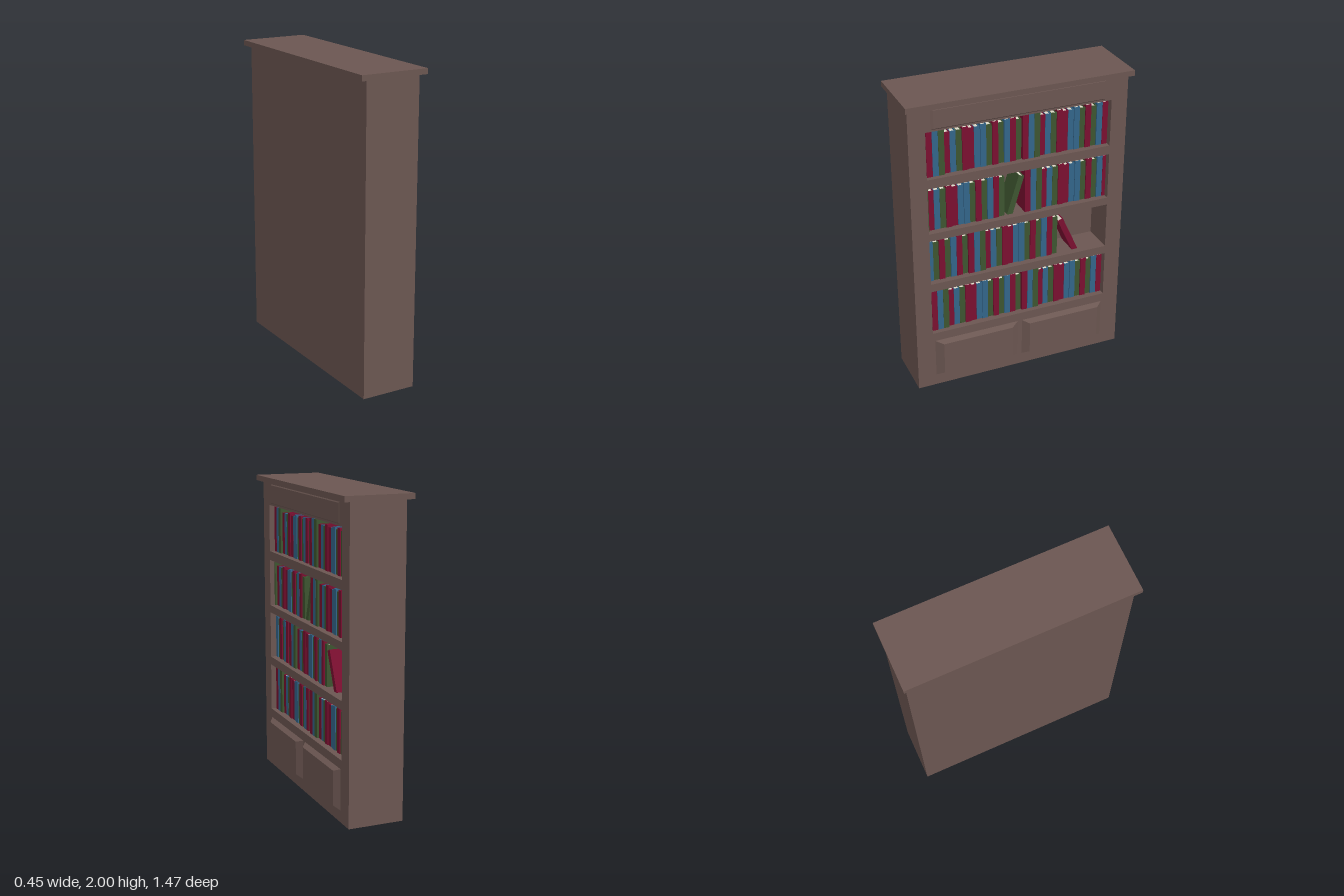
import * as THREE from 'three';

const mat = (color) => new THREE.MeshStandardMaterial({ color, flatShading: true });
const WOOD = mat(0x6b5651);
const PAGES = mat(0xddd8c8);
const COVERS = { R: mat(0x7a0f30), B: mat(0x33658a), G: mat(0x3d5530) };

// One set of sixteen books that repeats along the shelves
const COLORS = 'RBGRBGRRBBGRGBRG';
const HEIGHTS = [0.297, 0.297, 0.297, 0.27, 0.27, 0.27, 0.282, 0.27, 0.27, 0.282, 0.27, 0.285, 0.27, 0.285, 0.285, 0.27];
const PITCH = 0.0385;
const BACK = -0.03, FRONT = 0.18;

// Box given by its limits on each axis
function box(name, material, x0, x1, y0, y1, z0, z1) {
  const mesh = new THREE.Mesh(new THREE.BoxGeometry(x1 - x0, y1 - y0, z1 - z0), material);
  mesh.position.set((x0 + x1) / 2, (y0 + y1) / 2, (z0 + z1) / 2);
  mesh.name = name;
  return mesh;
}

// Raised panel: a box whose front face is drawn in to an inner rectangle
function raisedPanel(name, height, outer, inner) {
  const geo = new THREE.BoxGeometry(1, 1, 1);
  const p = geo.attributes.position;
  for (let i = 0; i < p.count; i++) {
    const front = p.getX(i) > 0;
    const [y0, y1, z0, z1] = front ? inner : outer;
    p.setXYZ(i, front ? FRONT + height : FRONT - 0.01, p.getY(i) > 0 ? y1 : y0, p.getZ(i) > 0 ? z1 : z0);
  }
  geo.computeVertexNormals();
  const mesh = new THREE.Mesh(geo, WOOD);
  mesh.name = name;
  return mesh;
}

// Book standing on its origin, spine towards +x, with pages set back from the covers
function book(index) {
  const g = new THREE.Group();
  const h = HEIGHTS[index], cover = COVERS[COLORS[index]];
  const w = PITCH / 2 - 0.0004, t = 0.005;
  const front = 0.135 + (h - 0.27) * 0.5, back = -0.01;
  g.add(box('frontCover', cover, back, front, 0, h, w - t, w));
  g.add(box('backCover', cover, back, front, 0, h, -w, -w + t));
  g.add(box('spine', cover, front - t, front, 0, h, -w + t, w - t));
  g.add(box('pages', PAGES, back + 0.006, front - t, 0.006, h - 0.006, -w + t, w - t));
  g.name = 'book';
  return g;
}

export function createModel() {
  const model = new THREE.Group();
  const shelves = [[0.40, 0.715], [0.77, 1.08], [1.13, 1.44], [1.50, 1.81]];

  // Front frame with an opening for each shelf
  const frame = new THREE.Shape([
    new THREE.Vector2(-0.713, 0), new THREE.Vector2(0.713, 0),
    new THREE.Vector2(0.713, 1.965), new THREE.Vector2(-0.713, 1.965)]);
  for (const [y0, y1] of shelves) {
    frame.holes.push(new THREE.Path([
      new THREE.Vector2(-0.605, y0), new THREE.Vector2(-0.605, y1),
      new THREE.Vector2(0.605, y1), new THREE.Vector2(0.605, y0)]));
  }
  const frameGeo = new THREE.ExtrudeGeometry(frame, { depth: FRONT - BACK, bevelEnabled: false });
  frameGeo.rotateY(Math.PI / 2).translate(BACK, 0, 0);
  const caseFrame = new THREE.Mesh(frameGeo, WOOD);
  caseFrame.name = 'shelfFrame';
  model.add(caseFrame);

  // Solid back and overhanging top
  model.add(box('caseBack', WOOD, -0.18, BACK, 0, 1.965, -0.713, 0.713));
  model.add(box('topBoard', WOOD, -0.223, 0.223, 1.965, 2, -0.733, 0.733));

  // Raised panels
  model.add(raisedPanel('leftLowerPanel', 0.033, [0.07, 0.347, 0, 0.605], [0.1, 0.323, 0.067, 0.542]));
  model.add(raisedPanel('rightLowerPanel', 0.033, [0.07, 0.347, -0.605, 0], [0.1, 0.323, -0.55, -0.057]));
  model.add(raisedPanel('upperPanel', 0.005, [1.81, 1.962, -0.605, 0.605], [1.828, 1.944, -0.555, 0.555]));

  // Rows of upright books: shelf, z where the set starts, first and last book of the set
  const runs = [
    [3, 0.594, 0, 15], [3, -0.026, 0, 14],
    [2, 0.706, 2, 15], [2, -0.042, 0, 14],
    [1, 0.955, 9, 15], [1, 0.339, 0, 15],
    [0, 0.594, 0, 15], [0, -0.026, 0, 14],
  ];
  for (const [shelf, start, first, last] of runs) {
    const row = new THREE.Group();
    row.name = 'bookRow';
    for (let i = first; i <= last; i++) {
      const b = book(i);
      b.position.set(0, shelves[shelf][0], start - (i + 0.5) * PITCH);
      row.add(b);
    }
    model.add(row);
  }

  // Leaning books
  for (const [name, index, y, z, tilt] of [
    ['leaningGreenBook', 5, 1.126, 0.055, -0.3],
    ['leaningRedBook', 3, 0.764, -0.408, 0.42]]) {
    const b = book(index);
    b.name = name;
    b.position.set(0, y, z);
    b.rotation.x = tilt;
    model.add(b);
  }
  return model;
}
